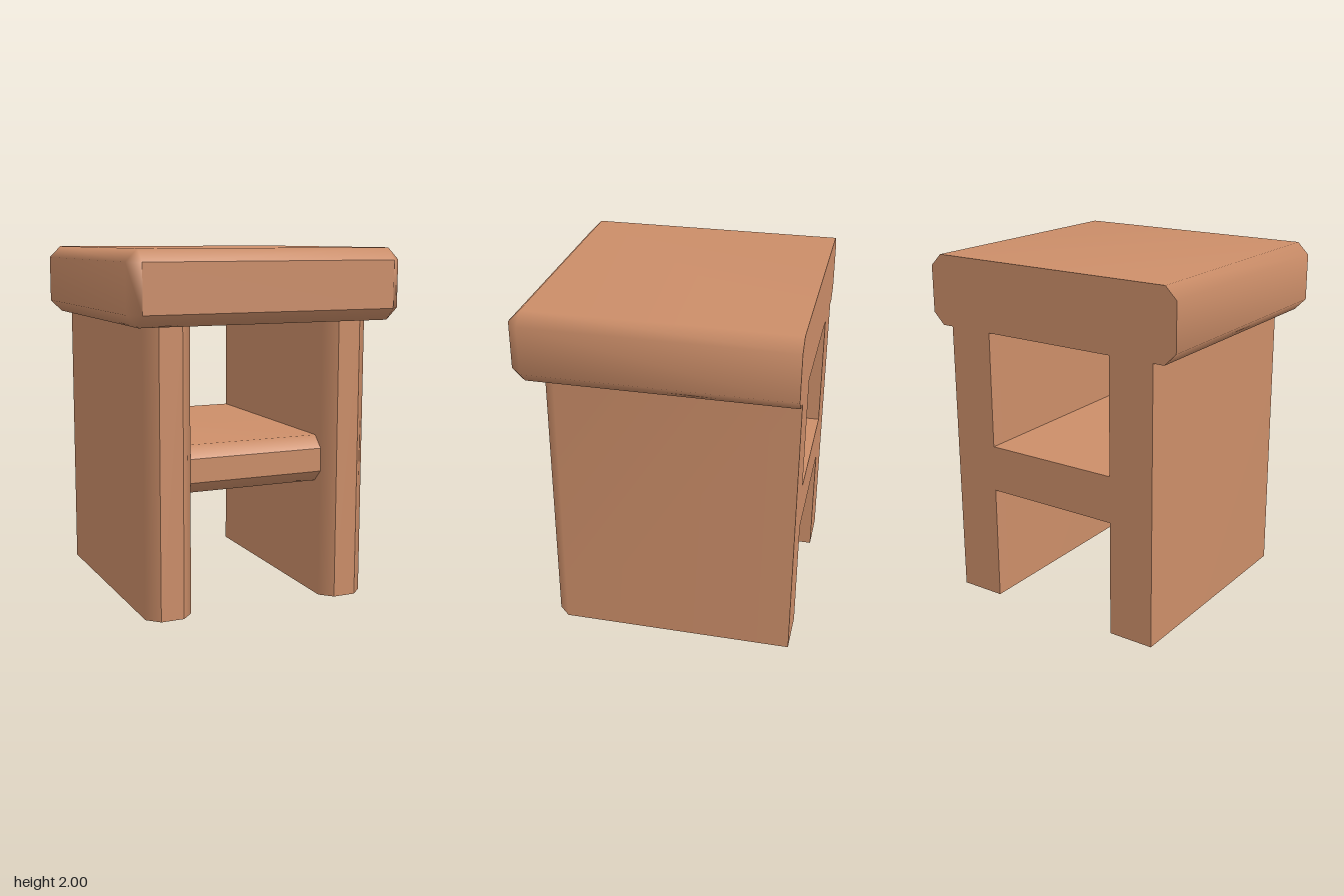
import * as THREE from 'three';
import { mergeGeometries, mergeVertices } from 'three/addons/utils/BufferGeometryUtils.js';

const BACK = -0.765;
const C = 0.067; // chamfer

function smooth(points, index) {
  const g = new THREE.BufferGeometry();
  g.setAttribute('position', new THREE.Float32BufferAttribute(points.flat(), 3));
  g.setIndex(index);
  const merged = mergeVertices(g);
  merged.computeVertexNormals();
  return merged;
}

// Smooth skin stretched over rows of equal length
function skin(rows) {
  const n = rows[0].length;
  const index = [];
  for (let r = 0; r < rows.length - 1; r++) {
    for (let i = 0; i < n - 1; i++) {
      const a = r * n + i, b = a + n;
      index.push(a, a + 1, b + 1, a, b + 1, b);
    }
  }
  return smooth(rows.flat(), index);
}

// Flat convex cap
function cap(points) {
  const index = [];
  for (let i = 1; i < points.length - 1; i++) index.push(0, i, i + 1);
  return smooth(points, index);
}

// Upright board with both front edges chamfered
function boardGeometry(length, front) {
  const h = 0.1335, y = length / 2;
  const profile = [
    [h, BACK], [h, front - C], [h - C, front],
    [C - h, front], [-h, front - C], [-h, BACK],
  ];
  const at = (level) => profile.map(([x, z]) => [x, level, z]);
  const top = at(y), bottom = at(-y);
  const runs = [[0, 1, 2], [2, 3], [3, 4, 5], [5, 0]];
  return mergeGeometries([
    ...runs.map((run) => skin([run.map((i) => top[i]), run.map((i) => bottom[i])])),
    cap(bottom), cap([...top].reverse()),
  ]);
}

// Thick top: chamfered all round except at the flush back
function topGeometry() {
  const w = 0.8, h = 0.2, front = 0.765;
  const loop = (a, b, c, z) => [
    [a, -c, z], [a, c, z], [b, h0(c), z], [-b, h0(c), z],
    [-a, c, z], [-a, -c, z], [-b, -h0(c), z], [b, -h0(c), z], [a, -c, z],
  ];
  let h0 = () => h;
  const back = loop(w, w - C, h - C, BACK);
  const mid = loop(w, w - C, h - C, front - C);
  h0 = (c) => c; // the front loop shrinks to a rectangle
  const face = loop(w - C, w - C, h - C, front);
  return mergeGeometries([
    skin([back, mid, face]),
    cap([face[0], face[1], face[4], face[5]]),
    cap(back.slice(0, 8).reverse()),
  ]);
}

export function createModel() {
  const wood = new THREE.MeshStandardMaterial({ color: 0xcc8e69 });
  wood.name = 'warm wood';
  const group = new THREE.Group();
  group.name = 'stool';

  const add = (name, geometry, x, y) => {
    const mesh = new THREE.Mesh(geometry, wood);
    mesh.name = name;
    mesh.position.set(x, y, 0);
    group.add(mesh);
    return mesh;
  };

  add('seatTop', topGeometry(), 0, 1.8);

  // Side panels
  const panel = boardGeometry(1.6, 0.635);
  add('leftPanel', panel, 0.5335, 0.8);
  add('rightPanel', panel, -0.5335, 0.8);

  // Shelf between the panels, set back slightly
  add('shelf', boardGeometry(0.8, 0.568), 0, 0.803).rotation.z = Math.PI / 2;

  return group;
}
